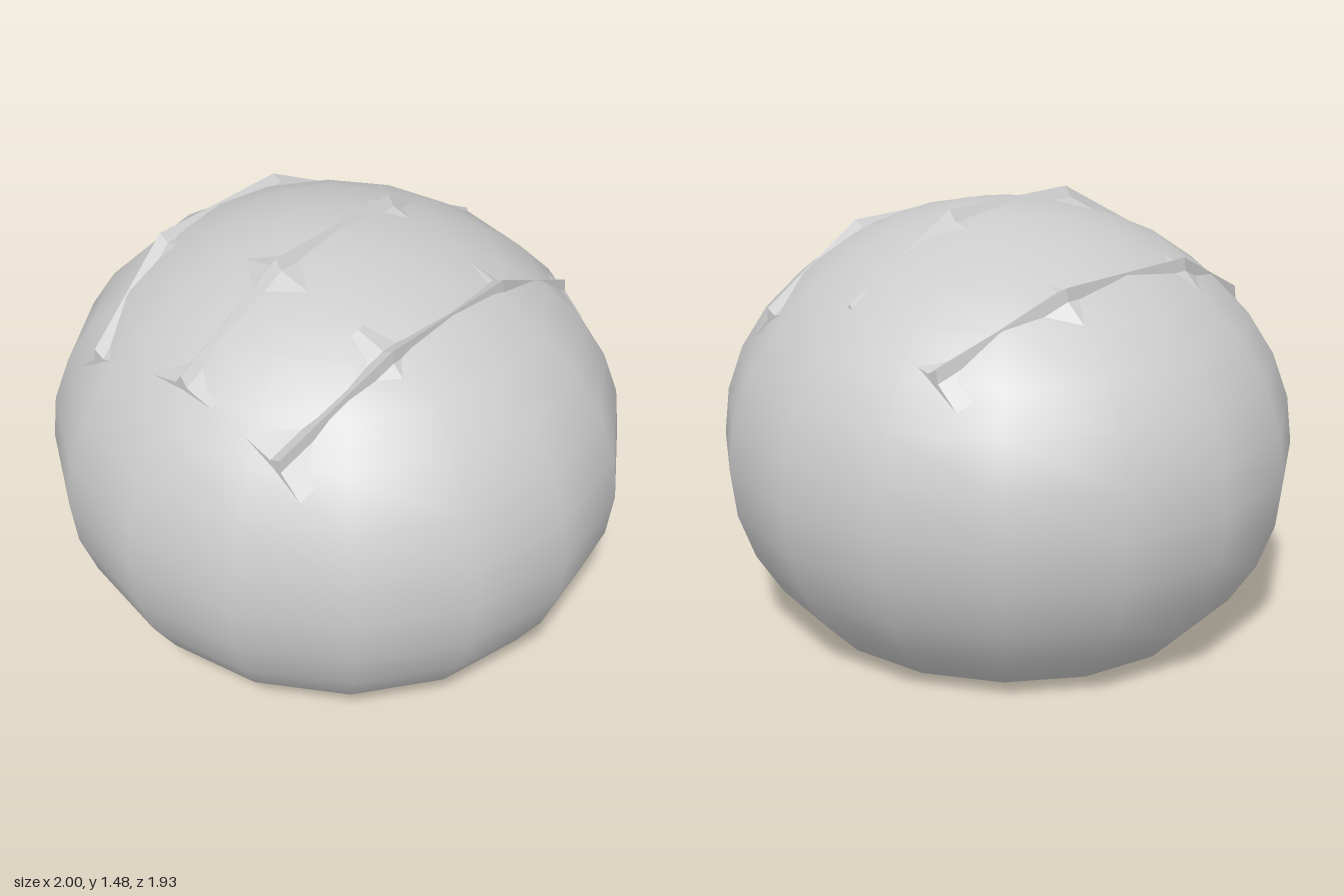
import * as THREE from 'three';
import { mergeVertices } from 'three/addons/utils/BufferGeometryUtils.js';

const CENTRE_Y = 0.63, HEIGHT = 0.83, DEPTH = 0.966, BASE_Y = 0.043;

// Ellipsoid whose underside is squashed to a shallow, almost flat base
function makeBody() {
  let geo = new THREE.SphereGeometry(1, 16, 16);
  geo.deleteAttribute('uv');
  geo.deleteAttribute('normal');
  geo = mergeVertices(geo, 1e-4);
  const p = geo.attributes.position;
  const squash = BASE_Y / (HEIGHT - CENTRE_Y + BASE_Y);
  for (let i = 0; i < p.count; i++) {
    let y = CENTRE_Y + HEIGHT * p.getY(i);
    if (y < BASE_Y) y = BASE_Y + (y - BASE_Y) * squash;
    p.setXYZ(i, p.getX(i), y, p.getZ(i) * DEPTH);
  }
  geo.computeVertexNormals();
  return geo;
}

// Three-pointed star section, counter-clockwise from its top ridge
const STAR = [[0, 0], [-0.025, -0.035], [-0.13, -0.06], [0, -0.05], [0.13, -0.06], [0.025, -0.035]];

// Sweeps the star through stations [x, y, z] (front to back), tilted about z
function makeRidge(stations, tilt) {
  const c = Math.cos(tilt), s = Math.sin(tilt), n = STAR.length;
  const at = ([x, y, z], [u, v]) => [x + u * c - v * s, y + u * s + v * c, z];
  const pos = [];
  const tri = (...corners) => corners.forEach((q) => pos.push(...q));
  const first = stations[0], last = stations[stations.length - 1];
  const hub = [0, -0.042];
  for (let i = 0; i < n; i++) {
    const a = STAR[i], b = STAR[(i + 1) % n];
    for (let k = 0; k < stations.length - 1; k++) {
      const f = stations[k], r = stations[k + 1];
      tri(at(f, a), at(r, a), at(f, b));
      tri(at(f, b), at(r, a), at(r, b));
    }
    // end caps
    tri(at(first, hub), at(first, a), at(first, b));
    tri(at(last, hub), at(last, b), at(last, a));
  }
  const geo = new THREE.BufferGeometry();
  geo.setAttribute('position', new THREE.Float32BufferAttribute(pos, 3));
  geo.computeVertexNormals();
  return geo;
}

export function createModel() {
  const group = new THREE.Group();
  const smooth = new THREE.MeshStandardMaterial({ color: 0xcccccc });
  const flat = new THREE.MeshStandardMaterial({ color: 0xcccccc, flatShading: true });
  const add = (name, geo, mat) => {
    const mesh = new THREE.Mesh(geo, mat);
    mesh.name = name;
    group.add(mesh);
  };

  add('body', makeBody(), smooth);

  // Bent ridges running front to back over the crown
  add('centreRidge', makeRidge(
    [[0, 1.248, 0.7], [0, 1.475, 0.28], [0, 1.475, -0.25], [0, 1.24, -0.67]], 0), flat);
  add('leftRidge', makeRidge(
    [[0.418, 1.145, 0.7], [0.49, 1.358, 0.28], [0.49, 1.358, -0.25], [0.44, 1.135, -0.67]], -0.52), flat);
  add('rightRidge', makeRidge(
    [[-0.43, 1.13, 0.685], [-0.555, 1.328, 0.27], [-0.555, 1.328, -0.27], [-0.43, 1.13, -0.69]], 0.47), flat);

  return group;
}
